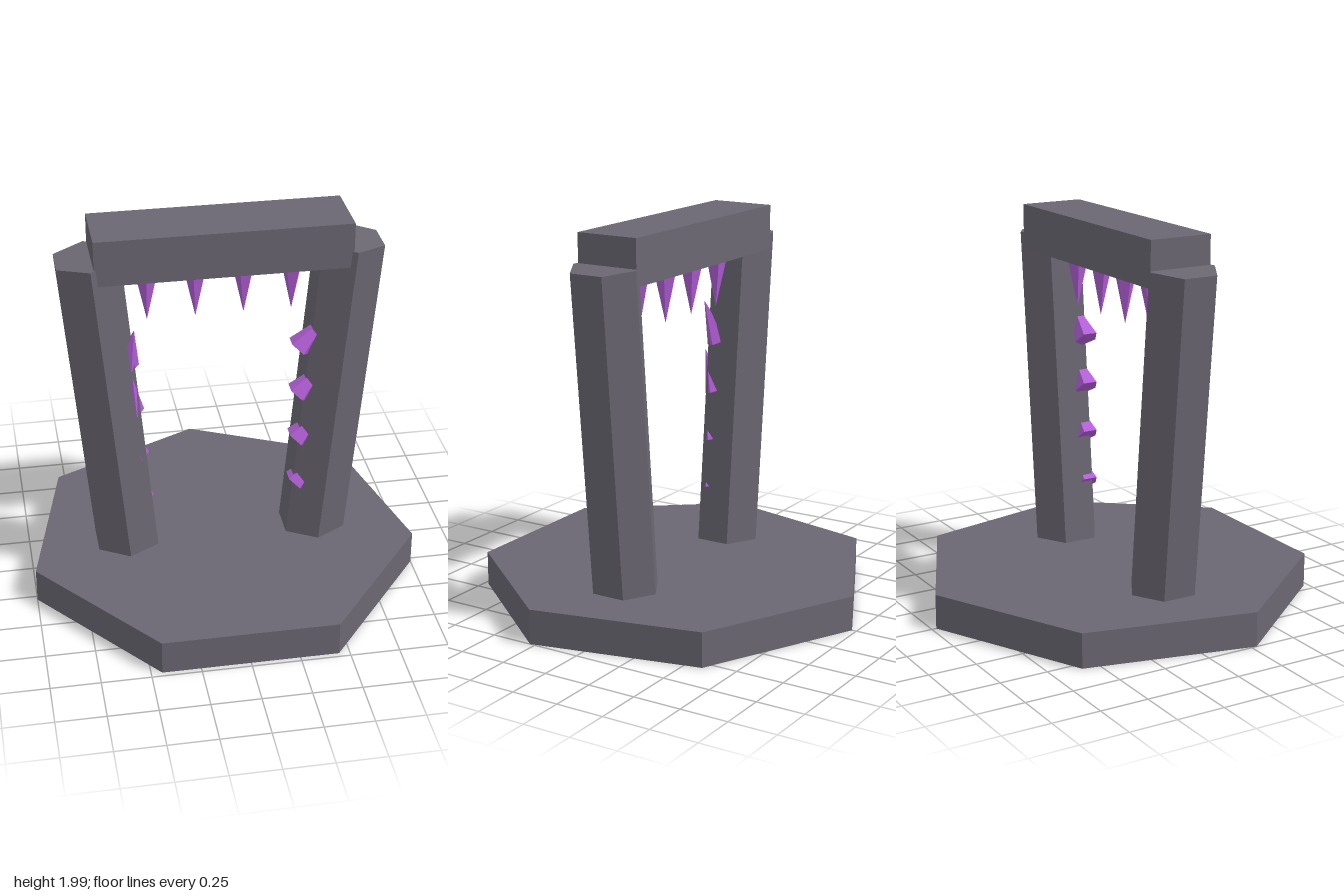
import * as THREE from 'three';

export function createModel() {
  const model = new THREE.Group();
  model.name = 'stoneGate';

  const stone = new THREE.MeshStandardMaterial({ color: 0x6b6772 });
  stone.name = 'grey stone';
  const crystal = new THREE.MeshStandardMaterial({ color: 0xb45fd8 });
  crystal.name = 'purple crystal';

  const midZ = 0.05;

  function add(name, geometry, material, parent = model) {
    // split the corners so every facet is flat
    const flat = geometry.index ? geometry.toNonIndexed() : geometry;
    flat.computeVertexNormals();
    const mesh = new THREE.Mesh(flat, material);
    mesh.name = name;
    parent.add(mesh);
    return mesh;
  }

  // five-sided crystal from the centre of its base to its tip
  function spike(name, base, tip, radius, turn, parent) {
    const a = new THREE.Vector3(...base);
    const b = new THREE.Vector3(...tip);
    const axis = b.clone().sub(a);
    const length = axis.length();
    const cone = new THREE.ConeGeometry(radius, length, 5, 1);
    cone.rotateY(turn);
    const mesh = add(name, cone, crystal, parent);
    mesh.quaternion.setFromUnitVectors(new THREE.Vector3(0, 1, 0), axis.normalize());
    mesh.position.copy(a).add(b).multiplyScalar(0.5);
  }

  // seven-sided base slab with a corner at the back
  const slab = new THREE.CylinderGeometry(1.026, 1.026, 0.18, 7);
  slab.rotateY(Math.PI);
  add('baseSlab', slab, stone).position.set(0, 0.09, midZ);

  // hexagonal pillars leaning outwards
  const lean = 0.092;
  const pillarLength = 1.78;
  for (const side of [-1, 1]) {
    const shaft = new THREE.CylinderGeometry(0.18, 0.18, pillarLength, 6);
    shaft.translate(0, -pillarLength / 2, 0);
    const pillar = add(side > 0 ? 'leftPillar' : 'rightPillar', shaft, stone);
    pillar.position.set(side * 0.652, 1.839, midZ);
    pillar.rotation.z = -side * lean;
  }

  // lintel across the pillars
  add('lintel', new THREE.BoxGeometry(1.27, 0.235, 0.335), stone).position.set(0, 1.8725, 0.0475);

  // crystals hanging under the lintel
  const hanging = new THREE.Group();
  hanging.name = 'hangingCrystals';
  model.add(hanging);
  for (let i = 0; i < 4; i++) {
    const x = -0.365 + i * 0.2425;
    spike('hangingCrystal', [x, 1.757, midZ], [x, 1.475, midZ], 0.062, 0.1 + i * 0.2, hanging);
  }

  // crystals embedded in the inner faces of the pillars
  const embedded = new THREE.Group();
  embedded.name = 'pillarCrystals';
  model.add(embedded);
  for (let i = 0; i < 4; i++) {
    const drop = i * 0.267;
    spike('leftPillarCrystal', [0.39, 1.285 - drop, 0.12],
      [0.56, 1.475 - drop, 0.12], 0.065, 0.3, embedded);
    spike('rightPillarCrystal', [-0.478 + i * 0.02, 1.26 - drop, 0.1],
      [-0.445 - i * 0.014, 1.48 - drop, 0.168], 0.062, 0.3, embedded);
  }

  return model;
}
